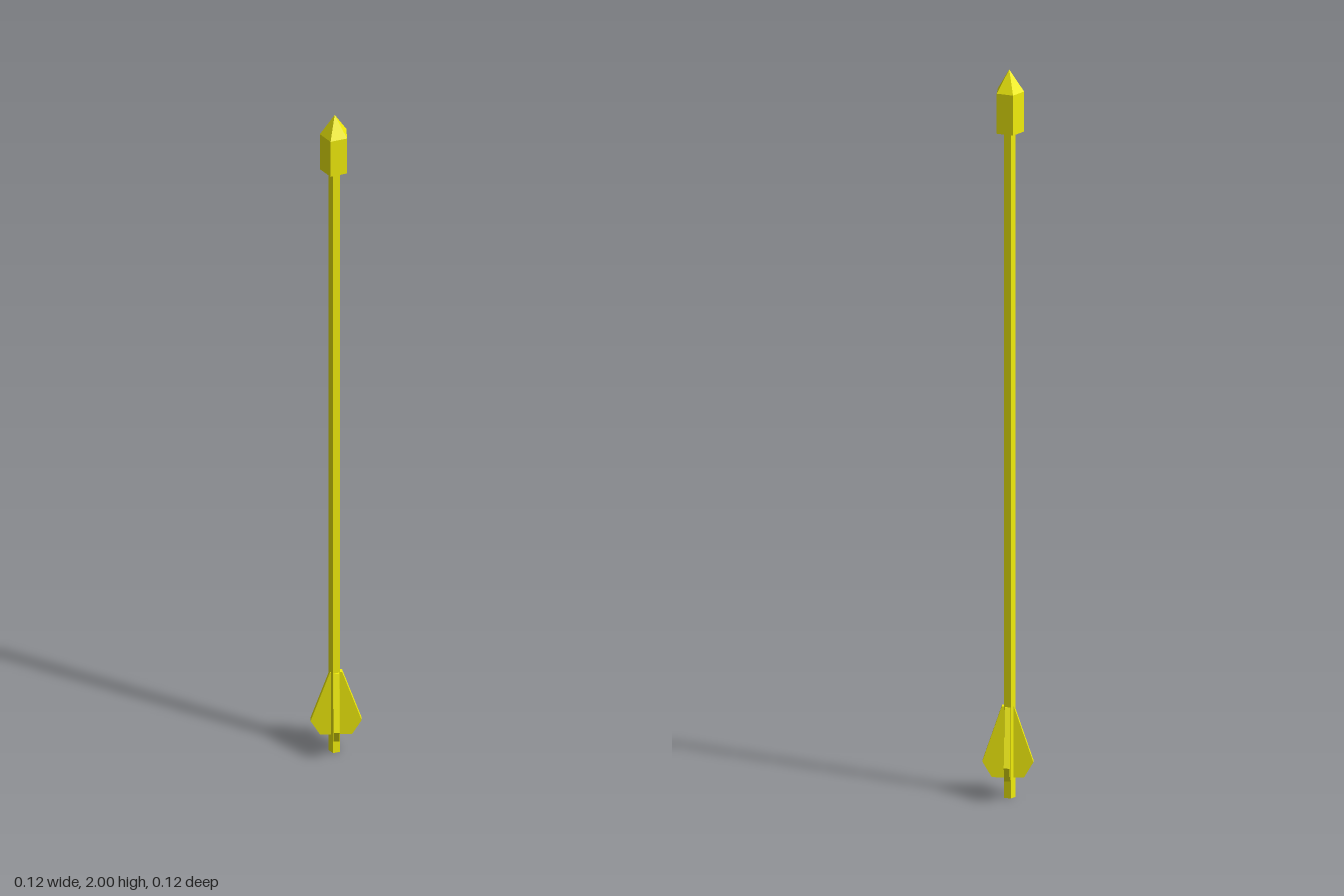
import * as THREE from 'three';

export function createModel() {
  const group = new THREE.Group();
  const material = new THREE.MeshStandardMaterial({ color: 0xf2ee0c, flatShading: true });

  function add(name, geometry, parent = group) {
    const mesh = new THREE.Mesh(geometry, material);
    mesh.name = name;
    parent.add(mesh);
    return mesh;
  }

  // Five-sided prism or pyramid with one corner towards +x
  function pentagon(name, rTop, rBottom, y0, y1) {
    const g = new THREE.CylinderGeometry(rTop, rBottom, y1 - y0, 5, 1, rTop === 0);
    g.rotateY(Math.PI / 2);
    g.translate(-0.002, (y0 + y1) / 2, -0.003);
    return add(name, g);
  }

  // Shaft and head
  pentagon('shaft', 0.016, 0.016, 0, 1.84);
  pentagon('headBody', 0.039, 0.039, 1.83, 1.94);
  pentagon('headPoint', 0, 0.039, 1.94, 2);

  // Four tapered fins around the tail
  const thickness = 0.015;
  const profile = new THREE.Shape([
    [0, 0.055], [0.042, 0.055], [0.067, 0.098], [0.016, 0.25], [0, 0.25],
  ].map(([x, y]) => new THREE.Vector2(x, y)));
  const finGeometry = new THREE.ExtrudeGeometry(profile, { depth: thickness, bevelEnabled: false });
  finGeometry.translate(0, 0, -thickness / 2);

  const fins = new THREE.Group();
  fins.name = 'fins';
  for (let i = 0; i < 4; i++) {
    const fin = add('fin' + (i + 1), finGeometry, fins);
    fin.rotation.y = THREE.MathUtils.degToRad(-36 + i * 90);
  }
  group.add(fins);

  return group;
}
